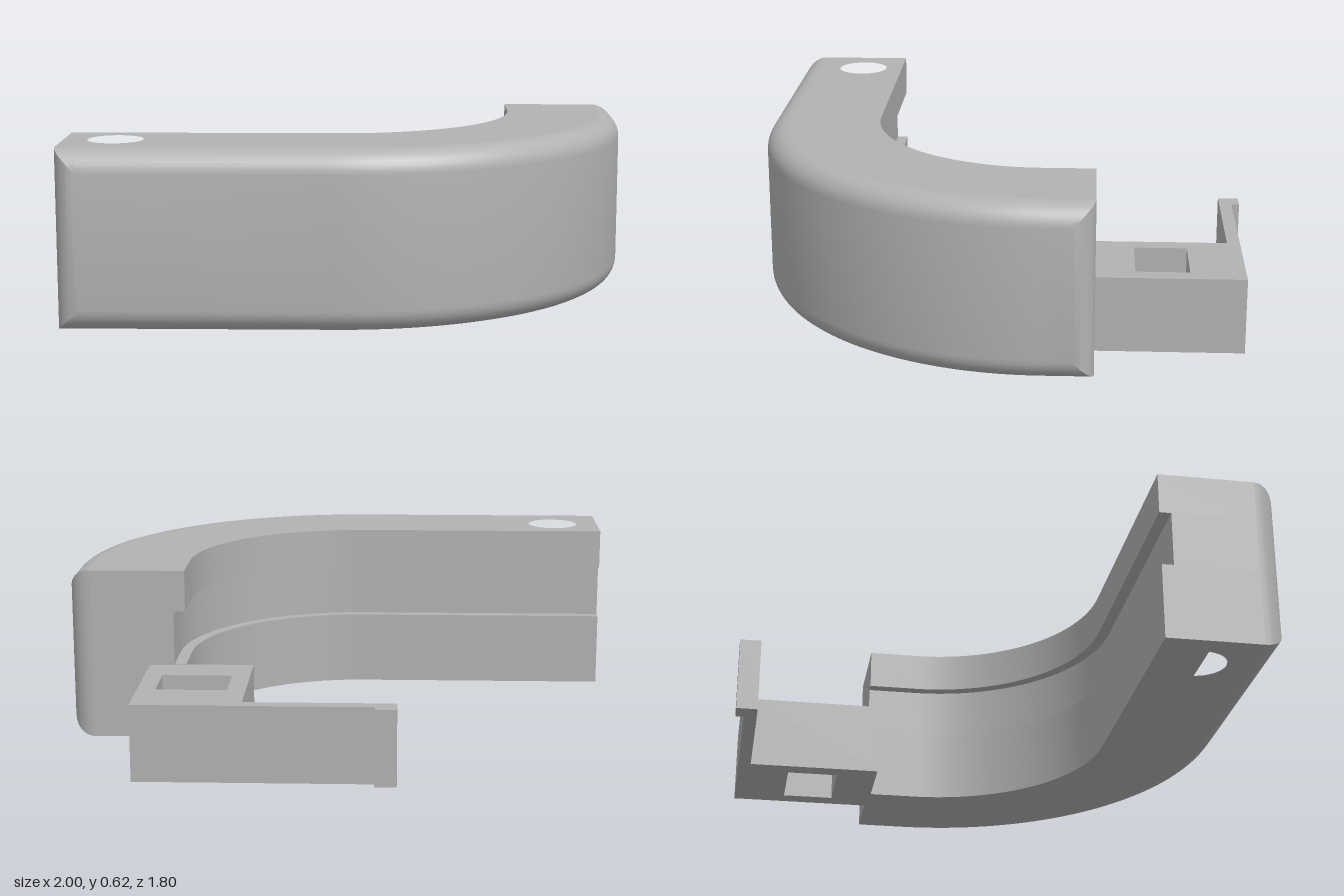
import * as THREE from 'three';
import { toCreasedNormals } from 'three/addons/utils/BufferGeometryUtils.js';

const H = 0.625;                 // body height
const W = 0.423;                 // body width, inner wall to outer wall
const F = 0.08;                  // fillet radius of the outer wall
const CX = -0.053, CZ = -0.157;  // bend centre
const R = 0.63;                  // inner bend radius
const X_END = -1, Z_END = -0.345;
const BEND_STEPS = 48, FILLET_STEPS = 8;

// Stations along the bend: each gives [x, z] at distance d from the inner wall
const bendPoint = (t, d) => {
  const a = (t * Math.PI) / 2;
  return [CX + (R + d) * Math.sin(a), CZ + (R + d) * Math.cos(a)];
};

function planLine(d) {
  const pts = [[X_END, CZ + R + d]];
  for (let i = 0; i <= BEND_STEPS; i++) pts.push(bendPoint(i / BEND_STEPS, d));
  pts.push([CX + R + d, Z_END]);
  return pts;
}

// Extrudes a plan outline of [x, z] points upward from y0 to y1
function extrudePlan(points, holes, y0, y1) {
  const shape = new THREE.Shape(points.map(([x, z]) => new THREE.Vector2(x, -z)));
  shape.holes.push(...holes);
  const geo = new THREE.ExtrudeGeometry(shape, { depth: y1 - y0, bevelEnabled: false, curveSegments: 40 });
  geo.rotateX(-Math.PI / 2);
  geo.translate(0, y0, 0);
  return toCreasedNormals(geo, 0.5);
}

// One layer of the body between the inner wall and the start of the fillet
function bodyLayer(inset, y0, y1) {
  const pin = new THREE.Path();
  pin.absarc(-0.82, -0.635, 0.097, 0, Math.PI * 2, true);
  const outline = [...planLine(inset), ...planLine(W - F).reverse()];
  return extrudePlan(outline, [pin], y0, y1);
}

// Outer wall with filleted top, bottom and ends that meet in mitred corners
function outerWall() {
  const stations = [];
  const ends = (i) => {
    const phi = (i / FILLET_STEPS) * (Math.PI / 2);
    return { phi, e: F * (1 - Math.cos(phi)) };
  };
  for (let i = 0; i <= FILLET_STEPS; i++) {
    const { phi, e } = ends(i);
    stations.push({ phi, at: (d) => [X_END + e, CZ + R + d] });
  }
  for (let i = 0; i <= BEND_STEPS; i++) {
    stations.push({ phi: Math.PI / 2, at: (d) => bendPoint(i / BEND_STEPS, d) });
  }
  for (let i = FILLET_STEPS; i >= 0; i--) {
    const { phi, e } = ends(i);
    stations.push({ phi, at: (d) => [CX + R + d, Z_END + e] });
  }

  const pos = [], index = [], n = 2 * (FILLET_STEPS + 1);
  for (const { phi, at } of stations) {
    for (let j = 0; j < n; j++) {
      const top = j <= FILLET_STEPS;
      const theta = (phi * (top ? j : n - 1 - j)) / FILLET_STEPS;
      const [x, z] = at(W - F + F * Math.sin(theta));
      const drop = F * (1 - Math.cos(theta));
      pos.push(x, top ? H - drop : drop, z);
    }
  }
  for (let i = 0; i < stations.length - 1; i++) {
    for (let j = 0; j < n - 1; j++) {
      const a = i * n + j, d = a + n;
      index.push(a, a + 1, d + 1, a, d + 1, d);
    }
  }
  const geo = new THREE.BufferGeometry();
  geo.setAttribute('position', new THREE.Float32BufferAttribute(pos, 3));
  geo.setIndex(index);
  return toCreasedNormals(geo, 0.5);
}

export function createModel() {
  const model = new THREE.Group();
  model.name = 'curvedHousing';
  const grey = new THREE.MeshStandardMaterial({ color: 0xb2b2b2 });
  grey.name = 'grey';
  const add = (name, geo, parent) => {
    const mesh = new THREE.Mesh(geo, grey);
    mesh.name = name;
    parent.add(mesh);
  };

  // Curved body with a shallow groove in its inner wall and a pin hole
  const body = new THREE.Group();
  body.name = 'body';
  add('lowerLip', bodyLayer(0, 0, 0.275), body);
  add('groove', bodyLayer(0.042, 0.275, 0.475), body);
  add('upperLip', bodyLayer(0, 0.475, H), body);
  add('outerWall', outerWall(), body);
  model.add(body);

  // Latch: a block with a square opening, and a thin arm ending in a hook
  const opening = new THREE.Path([
    [0.395, 0.485], [0.395, 0.675], [0.645, 0.675], [0.645, 0.485],
  ].map(([x, y]) => new THREE.Vector2(x, y)));
  add('latch', extrudePlan([
    [0.33, -0.333], [0.71, -0.333], [0.71, -0.87], [-0.122, -0.87],
    [-0.122, -0.9], [-0.198, -0.9], [-0.198, -0.823], [0.33, -0.823],
  ], [opening], 0, 0.273), model);

  return model;
}
